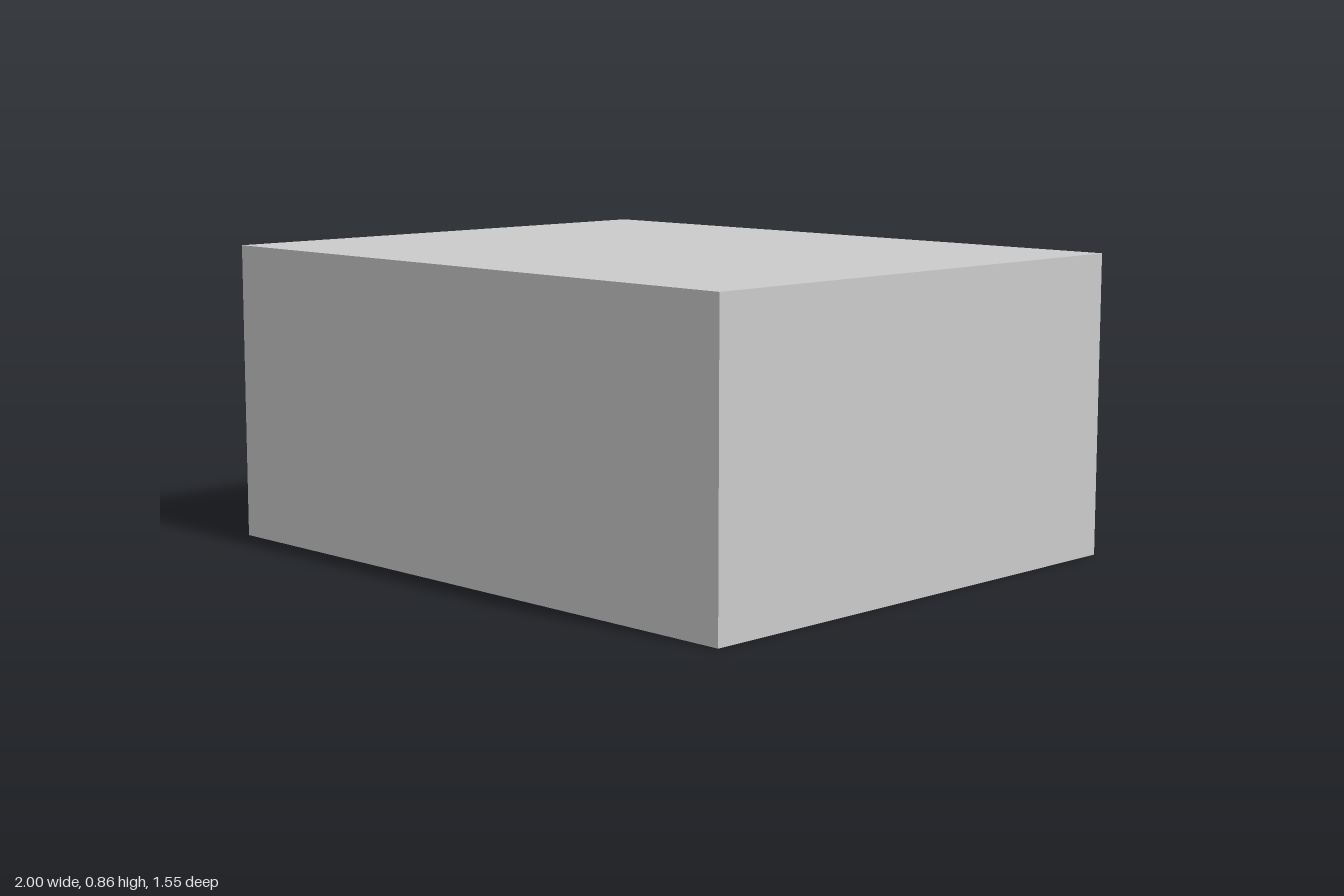
import * as THREE from 'three';

const material = new THREE.MeshStandardMaterial({ color: 0xcccccc, side: THREE.DoubleSide, flatShading: true });

const WALL_X = -0.925, HEIGHT = 0.86, BACK = -0.775, FRONT = 0.772;

// Adds a counter-clockwise rectangle to a shape or path, in (z, y)
function rect(path, z0, z1, y0, y1) {
  path.moveTo(z0, y0).lineTo(z1, y0).lineTo(z1, y1).lineTo(z0, y1).closePath();
  return path;
}

// Rectangle pierced by the window opening
function piercedRect(z0, z1, y0, y1) {
  const shape = rect(new THREE.Shape(), z0, z1, y0, y1);
  shape.holes.push(rect(new THREE.Path(), -0.323, 0.018, 0.28, 0.652));
  return shape;
}

// Turns a (z, y) outline to face -x and places it at x
function sideMesh(name, geometry, x) {
  geometry.rotateY(-Math.PI / 2).translate(x, 0, 0);
  const mesh = new THREE.Mesh(geometry, material);
  mesh.name = name;
  return mesh;
}

export function createModel() {
  const model = new THREE.Group();
  model.name = 'room';

  // Hollow shell: a box without its -x face
  const shell = new THREE.BoxGeometry(1 - WALL_X, HEIGHT, FRONT - BACK);
  const index = Array.from(shell.index.array);
  index.splice(6, 6);
  shell.setIndex(index);
  shell.clearGroups();
  shell.translate((1 + WALL_X) / 2, HEIGHT / 2, (FRONT + BACK) / 2);
  const walls = new THREE.Mesh(shell, material);
  walls.name = 'shell';
  model.add(walls);

  // Wall with the window opening
  model.add(sideMesh('windowWall', new THREE.ShapeGeometry(piercedRect(BACK, FRONT, 0, HEIGHT)), WALL_X));

  // Window surround and its thin raised lip
  const bars = (shape, depth) => new THREE.ExtrudeGeometry(shape, { depth, bevelEnabled: false });
  model.add(sideMesh('windowFrame', bars(piercedRect(-0.36, 0.052, 0.24, 0.69), 0.06), WALL_X));
  model.add(sideMesh('windowLip', bars(piercedRect(-0.337, 0.03, 0.267, 0.665), 0.015), WALL_X - 0.06));

  return model;
}
